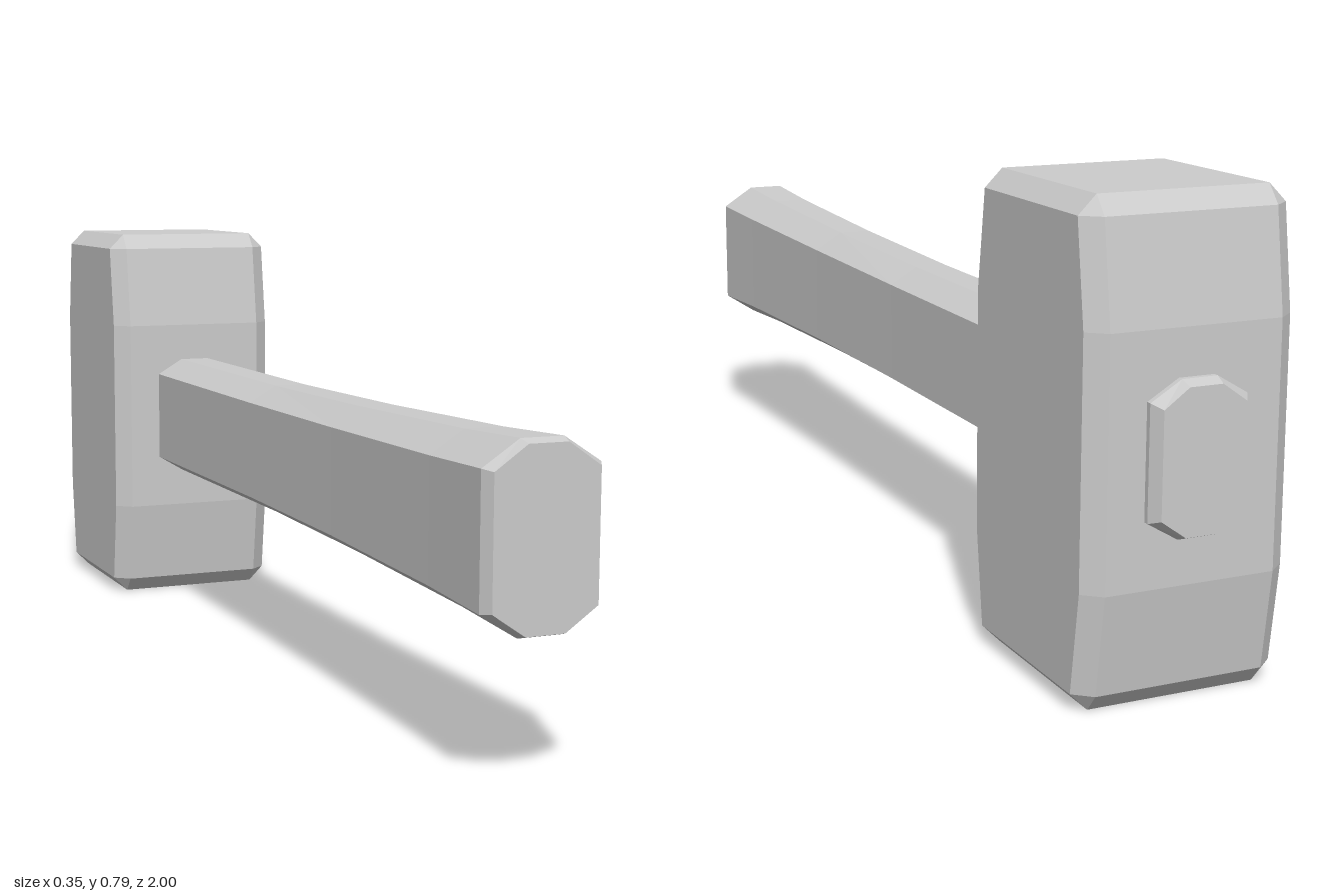
import * as THREE from 'three';

// Chamfered rectangle: sides at x = ±xo run to ±yi, top and bottom at y = ±yo run to ±xi
function chamferedRing([z, xo, xi, yo, yi]) {
  return [
    [xo, -yi], [xo, yi], [xi, yo], [-xi, yo],
    [-xo, yi], [-xo, -yi], [-xi, -yo], [xi, -yo],
  ].map(([x, y]) => new THREE.Vector3(x, y, z));
}

// Closed, faceted loft through sections ordered along +z
function loft(sections) {
  const rings = sections.map(chamferedRing);
  const points = [];
  const triangle = (a, b, c) => {
    if (new THREE.Triangle(a, b, c).getArea() > 1e-7) points.push(a, b, c);
  };
  const first = rings[0];
  const last = rings[rings.length - 1];
  for (let r = 0; r < rings.length - 1; r++) {
    for (let i = 0; i < 8; i++) {
      const j = (i + 1) % 8;
      const [a, b, c, d] = [rings[r][i], rings[r][j], rings[r + 1][j], rings[r + 1][i]];
      triangle(a, b, c);
      triangle(a, c, d);
    }
  }
  for (let i = 1; i < 7; i++) {
    triangle(first[0], first[i + 1], first[i]);
    triangle(last[0], last[i], last[i + 1]);
  }
  const geometry = new THREE.BufferGeometry().setFromPoints(points);
  geometry.computeVertexNormals();
  return geometry;
}

export function createModel() {
  const group = new THREE.Group();
  const material = new THREE.MeshStandardMaterial({ color: 0xcccccc, flatShading: true });

  // Upright head: bevelled block, thickest in its middle band
  const headGeometry = loft([
    [0, 0.145, 0.145, 0.155, 0.155],
    [0.03, 0.175, 0.145, 0.18, 0.155],
    [0.195, 0.175, 0.145, 0.203, 0.178],
    [0.59, 0.175, 0.145, 0.203, 0.178],
    [0.755, 0.175, 0.145, 0.18, 0.155],
    [0.785, 0.145, 0.145, 0.155, 0.155],
  ]);
  headGeometry.rotateX(-Math.PI / 2);
  const head = new THREE.Mesh(headGeometry, material);
  head.name = 'head';
  head.position.z = -0.768;
  group.add(head);

  // Eight-sided handle through the head, flaring towards the grip end
  const handle = new THREE.Mesh(loft([
    [-1, 0.07, 0.028, 0.114, 0.084],
    [-0.98, 0.082, 0.03, 0.122, 0.091],
    [0, 0.082, 0.03, 0.122, 0.091],
    [0.4, 0.085, 0.031, 0.128, 0.094],
    [0.8, 0.093, 0.034, 0.139, 0.101],
    [0.98, 0.099, 0.036, 0.148, 0.107],
    [1, 0.088, 0.033, 0.142, 0.104],
  ]), material);
  handle.name = 'handle';
  handle.position.y = 0.393;
  group.add(handle);

  return group;
}
